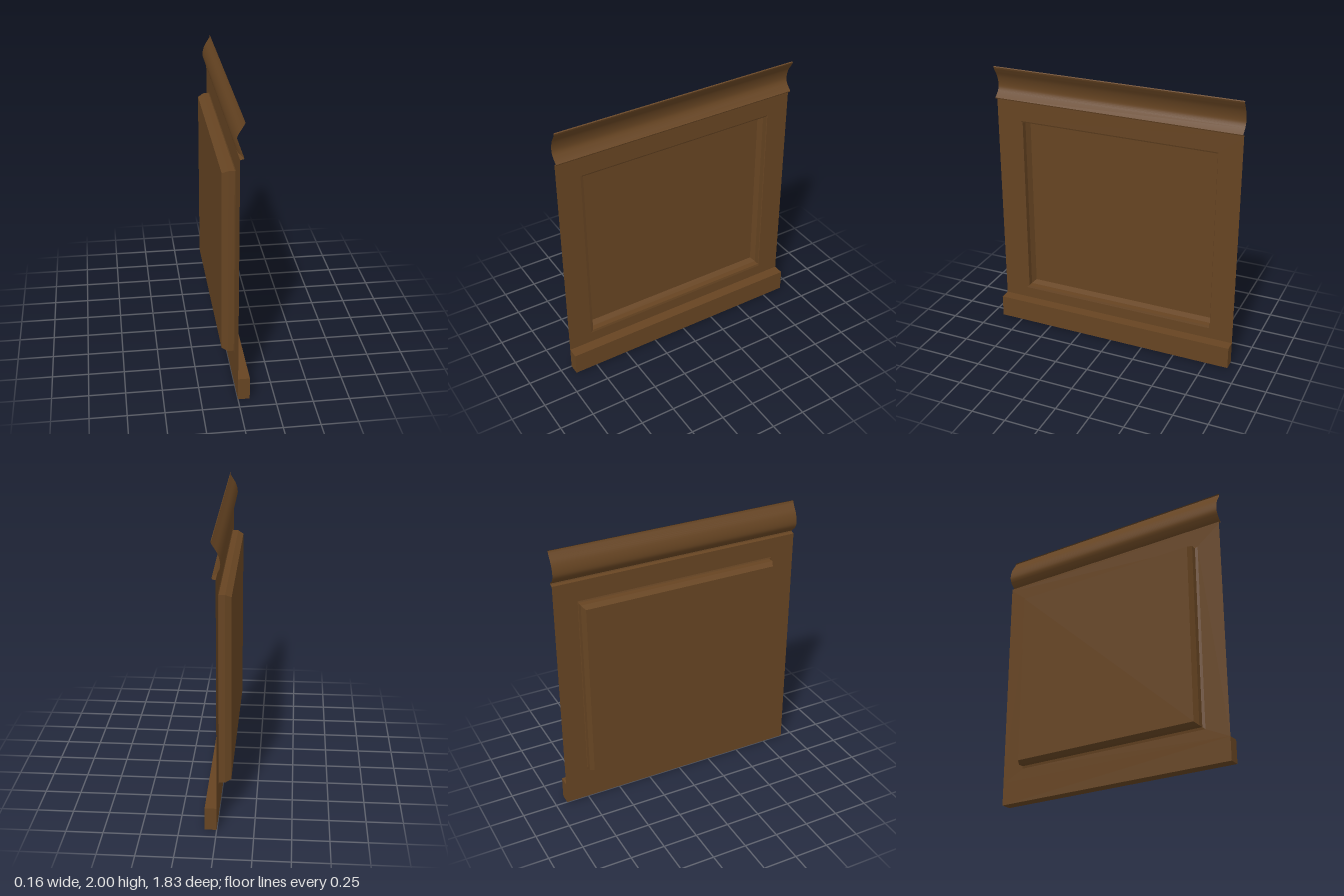
import * as THREE from 'three';
import { toCreasedNormals } from 'three/addons/utils/BufferGeometryUtils.js';

const HALF = 0.915; // half of the panel's length along z
const wood = new THREE.MeshStandardMaterial({ color: 0x664422, side: THREE.DoubleSide });

function part(group, name, geometry) {
  const mesh = new THREE.Mesh(geometry, wood);
  mesh.name = name;
  group.add(mesh);
  return mesh;
}

// Sweep an open [x, y] profile along the full length, without end caps
function sweep(profile) {
  const geo = new THREE.PlaneGeometry(1, 1, 1, profile.length - 1);
  const pos = geo.attributes.position;
  for (let i = 0; i < pos.count; i++) {
    const [x, y] = profile[Math.floor(i / 2)];
    pos.setXYZ(i, x, y, i % 2 ? -HALF : HALF);
  }
  return toCreasedNormals(geo, 0.6);
}

// Walls joining rectangles [x, yMin, yMax, zMin, zMax], closed by the last one
function recess(rings) {
  const corners = rings.map(([x, y0, y1, z0, z1]) =>
    [[x, y0, z1], [x, y0, z0], [x, y1, z0], [x, y1, z1]]);
  const points = [];
  const quad = (a, b, c, d) => points.push(...a, ...b, ...c, ...a, ...c, ...d);
  for (let r = 0; r + 1 < corners.length; r++) {
    for (let i = 0; i < 4; i++) {
      const j = (i + 1) % 4;
      quad(corners[r][i], corners[r][j], corners[r + 1][j], corners[r + 1][i]);
    }
  }
  quad(...corners[corners.length - 1]);
  const geo = new THREE.BufferGeometry();
  geo.setAttribute('position', new THREE.Float32BufferAttribute(points, 3));
  geo.computeVertexNormals();
  return geo;
}

export function createModel() {
  const model = new THREE.Group();
  model.name = 'wallPanel';

  // Flat frame around the opening, drawn in (-z, y) and turned to face +x
  const shape = new THREE.Shape();
  shape.moveTo(-HALF, 0.163).lineTo(HALF, 0.163).lineTo(HALF, 1.74).lineTo(-HALF, 1.74).closePath();
  const hole = new THREE.Path();
  hole.moveTo(-0.74, 0.245).lineTo(-0.74, 1.61).lineTo(0.745, 1.61).lineTo(0.745, 0.245).closePath();
  shape.holes.push(hole);
  part(model, 'frame', new THREE.ShapeGeometry(shape).rotateY(Math.PI / 2));

  // Sunken panel: narrow lip, straight wall, bevel and floor
  part(model, 'recessedPanel', recess([
    [0, 0.245, 1.61, -0.745, 0.74],
    [-0.004, 0.262, 1.6, -0.742, 0.72],
    [-0.045, 0.262, 1.6, -0.742, 0.72],
    [-0.085, 0.28, 1.58, -0.722, 0.7],
  ]));

  // Crown moulding: top lip, round cove, sloped ledge and return to the frame
  const cove = new THREE.SplineCurve([
    [0.026, 1.983], [0.012, 1.96], [-0.012, 1.92], [-0.026, 1.875], [-0.027, 1.835], [-0.012, 1.803],
  ].map(([x, y]) => new THREE.Vector2(x, y))).getPoints(20).map(p => [p.x, p.y]);
  part(model, 'crownMoulding', sweep([
    [0.024, 2], [0.03, 1.995], ...cove, [0.025, 1.768], [0.022, 1.76], [0, 1.755], [0, 1.74],
  ]));

  // Baseboard
  const base = part(model, 'baseboard', new THREE.BoxGeometry(0.08, 0.163, 2 * HALF));
  base.position.set(0.04, 0.0815, 0);

  return model;
}
